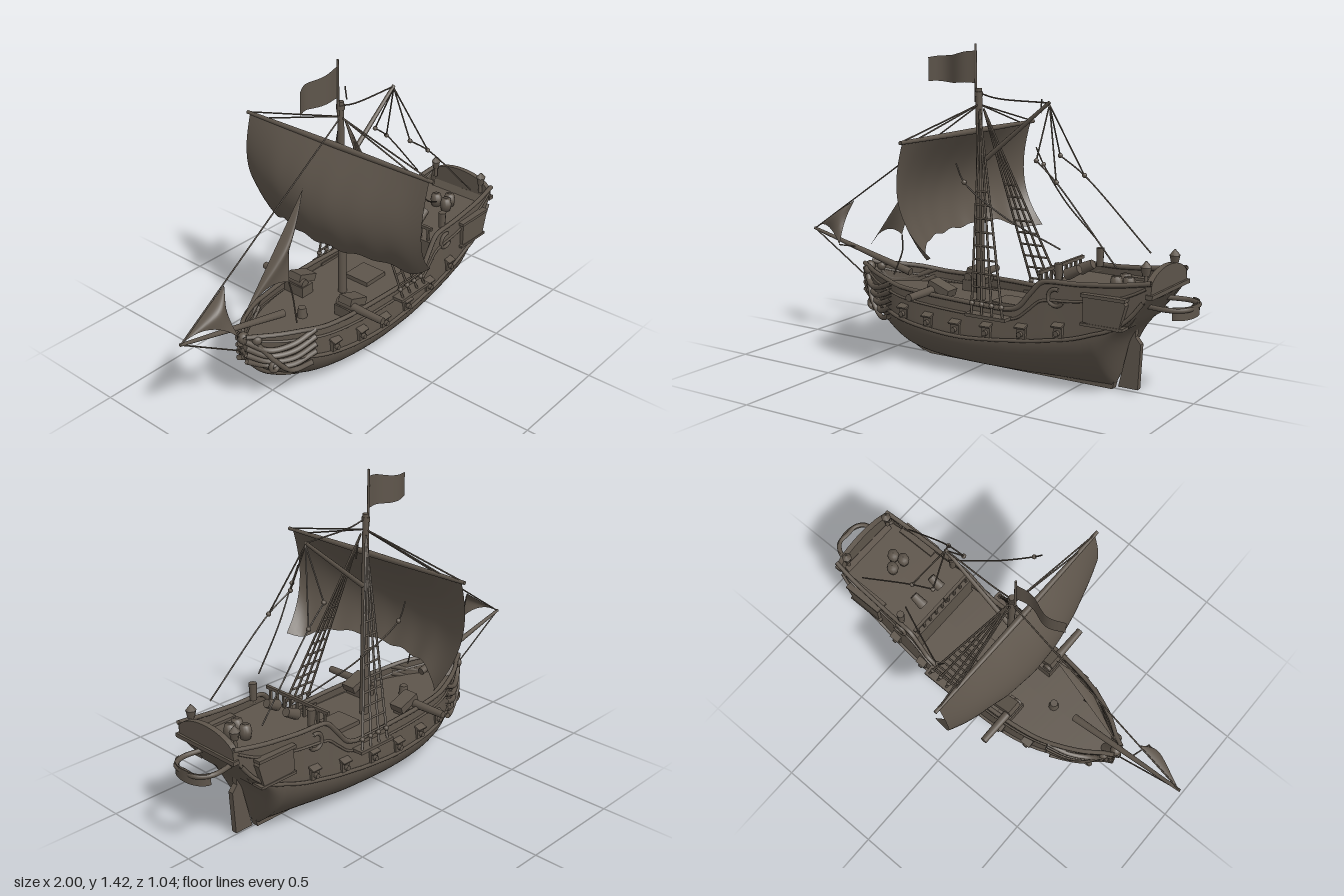
import * as THREE from 'three';

// Hull stations: x, keel y, widest y, rail y, half beam, half width at rail, bilge sharpness
const STATIONS = [
  [-0.68, .30, .33, .385, .01, .02, .8], [-0.62, .22, .29, .375, .045, .052, .7],
  [-0.55, .145, .25, .37, .09, .1, .6], [-0.45, .075, .225, .36, .148, .148, .6],
  [-0.35, .03, .205, .345, .188, .18, .6], [-0.2, .012, .19, .34, .218, .203, .55],
  [0, .01, .18, .335, .228, .212, .5], [0.2, .01, .195, .33, .228, .212, .52],
  [0.28, .01, .205, .34, .225, .21, .55], [0.33, .01, .21, .385, .222, .205, .6],
  [0.37, .01, .215, .445, .22, .2, .63], [0.42, .01, .225, .47, .218, .197, .68],
  [0.55, .01, .25, .475, .207, .192, .8], [0.64, .01, .28, .482, .2, .188, .85],
  [0.72, .23, .31, .49, .195, .185, .45], [0.79, .33, .36, .5, .185, .18, .3],
  [0.88, .46, .475, .515, .17, .17, .25],
];

// Smooth interpolation through the stations
function station(x) {
  const n = STATIONS.length;
  let i = 0;
  while (i < n - 2 && x > STATIONS[i + 1][0]) i++;
  const a = STATIONS[i], b = STATIONS[i + 1], h = b[0] - a[0];
  const t = THREE.MathUtils.clamp((x - a[0]) / h, 0, 1);
  const slope = (j, c) => {
    const p = STATIONS[Math.max(j - 1, 0)], q = STATIONS[Math.min(j + 1, n - 1)];
    return (q[c] - p[c]) / (q[0] - p[0]);
  };
  const val = c => (2 * t ** 3 - 3 * t * t + 1) * a[c] + (t ** 3 - 2 * t * t + t) * h * slope(i, c)
    + (3 * t * t - 2 * t ** 3) * b[c] + (t ** 3 - t * t) * h * slope(i + 1, c);
  return { k: Math.max(val(1), .01), yb: val(2), top: val(3), B: val(4), T: val(5), p: Math.max(val(6), .2) };
}

function hullZ(x, y) {
  const s = station(x);
  if (y > s.yb) return s.B + (s.T - s.B) * Math.min((y - s.yb) / (s.top - s.yb), 1);
  const f = THREE.MathUtils.clamp((y - s.k) / (s.yb - s.k), 0, 1);
  return Math.max(.008, s.B * Math.pow(Math.sin(f * Math.PI / 2), s.p));
}

// Surface from a rule fn(u, v) -> [x, y, z]
function grid(nu, nv, fn) {
  const pos = [], idx = [];
  for (let i = 0; i <= nu; i++) for (let j = 0; j <= nv; j++) pos.push(...fn(i / nu, j / nv));
  for (let i = 0; i < nu; i++) for (let j = 0; j < nv; j++) {
    const a = i * (nv + 1) + j, b = a + nv + 1;
    idx.push(a, b, a + 1, b, b + 1, a + 1);
  }
  const g = new THREE.BufferGeometry();
  g.setAttribute('position', new THREE.Float32BufferAttribute(pos, 3));
  g.setIndex(idx);
  g.computeVertexNormals();
  return g;
}

export function createModel() {
  const root = new THREE.Group();
  const wood = new THREE.MeshStandardMaterial({ color: 0x5e554b, side: THREE.DoubleSide });
  wood.name = 'weatheredBrown';
  const V = p => new THREE.Vector3(...p);
  const add = (name, geo, x = 0, y = 0, z = 0) => {
    const m = new THREE.Mesh(geo, wood);
    m.name = name;
    m.position.set(x, y, z);
    root.add(m);
    return m;
  };
  const box = (name, w, h, d, x, y, z) => add(name, new THREE.BoxGeometry(w, h, d), x, y, z);
  const tube = (name, pts, r = .0035, seg = 5) =>
    add(name, new THREE.TubeGeometry(new THREE.CatmullRomCurve3(pts.map(V)), pts.length > 2 ? pts.length * 6 : 1, r, seg));
  const spar = (name, a, b, r0, r1, seg = 12) => {
    const A = V(a), B = V(b), d = B.clone().sub(A);
    const m = add(name, new THREE.CylinderGeometry(r1, r0, d.length(), seg), ...A.clone().add(B).multiplyScalar(.5));
    m.quaternion.setFromUnitVectors(new THREE.Vector3(0, 1, 0), d.normalize());
    return m;
  };
  const plate = (name, pts, depth) => {
    const g = new THREE.ExtrudeGeometry(new THREE.Shape(pts.map(p => new THREE.Vector2(...p))), { depth, bevelEnabled: false });
    return add(name, g.translate(0, 0, -depth / 2));
  };
  const sides = fn => [1, -1].forEach(fn);

  // Hull shell, decks and bulkhead
  add('hull', grid(110, 48, (u, v) => {
    const x = -.68 + 1.56 * u, s = station(x), w = v * 2 - 1, a = Math.abs(w);
    const y = a < .65 ? s.k + (s.yb - s.k) * (a / .65) ** 2 : s.yb + (s.top - s.yb) * (a - .65) / .35;
    return [x, y, Math.sign(w) * hullZ(x, y)];
  }));
  const deck = (name, x0, x1, y) => add(name, grid(40, 2, (u, v) => {
    const x = x0 + (x1 - x0) * u;
    return [x, y, (v * 2 - 1) * (hullZ(x, y) - .004)];
  }));
  deck('mainDeck', -.64, .38, .29);
  deck('quarterDeck', .37, .87, .435);
  box('bulkhead', .015, .15, .39, .375, .36, 0);
  box('hatch', .13, .02, .13, .13, .3, 0);
  box('deckBreakRail', .014, .014, .38, .38, .5, 0);
  for (let i = -4; i <= 4; i++) box('railPost', .01, .07, .01, .38, .465, i * .042);

  // Keel, stem, rudder
  plate('keel', [[-.38, .03], [-.3, 0], [.64, 0], [.715, .28], [.66, .28], [.6, .04], [-.3, .03]], .034);
  tube('stem', [[-.34, .015, 0], [-.45, .07, 0], [-.55, .14, 0], [-.62, .22, 0], [-.68, .33, 0]], .014, 8);
  plate('rudder', [[.665, .015], [.755, .015], [.765, .21], [.74, .24], [.745, .32], [.72, .32], [.715, .22]], .026);

  // Rails, wales, gun ports, shroud channels, quarter galleries
  sides(s => {
    const along = (name, x0, x1, f, r, off) => tube(name, Array.from({ length: 30 }, (_, i) => {
      const x = x0 + (x1 - x0) * i / 29, q = station(x), y = q.yb + (q.top - q.yb) * f;
      return [x, y, s * (hullZ(x, y) + off)];
    }), r, 6);
    along('topRail', -.67, .88, 1, .011, .001);
    along('wale', -.66, .85, 0, .009, .003);
    along('upperWale', -.64, .86, .68, .006, .002);
    [-.31, -.16, -.01, .15, .32, .49].forEach(x => {
      const y = station(x).yb + .035, z = hullZ(x, y);
      box('gunPort', .042, .05, .025, x, y, s * z);
      const lid = box('gunPortLid', .05, .008, .035, x, y + .028, s * (z + .01));
      lid.rotation.x = s * .35;
      spar('gunMuzzle', [x, y - .005, s * z], [x, y - .005, s * (z + .028)], .012, .012, 8);
    });
    box('shroudChannel', .2, .014, .06, .165, .295, s * .24);
    const gal = plate('quarterGallery', [[.6, .33], [.76, .31], [.79, .42], [.775, .445], [.6, .435]], .05);
    gal.position.z = s * .188;
    box('galleryRoof', .2, .014, .06, .69, .44, s * .188);
    box('gallerySill', .19, .012, .056, .685, .32, s * .188);
    const scroll = add('sideScroll', new THREE.TorusGeometry(.035, .009, 6, 18, 4.6), .47, .41, s * .205);
    scroll.rotation.z = 1.2;

    // Carved bow rails
    for (let i = 0; i < 4; i++) {
      const d = i * .037;
      tube('headRail', [[-.4, .35 - d, s * (hullZ(-.4, .35 - d) + .004)],
        [-.5, .31 - d, s * (hullZ(-.5, .31 - d) + .012)],
        [-.59, .3 - d * .8, s * (hullZ(-.59, .3 - d * .8) + .014)], [-.67, .36 - d * .9, s * .022]], .013, 7);
    }
    tube('headBrace', [[-.63, .34, s * .05], [-.57, .24, s * .1], [-.5, .17, s * .125], [-.42, .19, s * .17]], .012, 7);
    add('bowScroll', new THREE.TorusGeometry(.024, .011, 7, 16), -.57, .215, s * .09);
    add('catheadKnob', new THREE.SphereGeometry(.022, 10, 8), -.63, .36, s * .05);

    // Side cannons
    spar('cannon', [-.17, .35, s * .1], [-.17, .35, s * .35], .021, .016);
    const carriage = box('cannonCarriage', .11, .035, .07, -.135, .36, s * .15);
    carriage.rotation.z = -.35;
    box('cannonBed', .07, .05, .11, -.16, .315, s * .15);

    // Stern lanterns
    spar('lanternPost', [.84, .49, s * .135], [.84, .54, s * .135], .01, .008, 8);
    spar('lantern', [.84, .535, s * .135], [.84, .57, s * .135], .015, .022, 6);
    spar('lanternCap', [.84, .57, s * .135], [.84, .595, s * .135], .024, .003, 6);
    spar('deckGun', [.44, .475, s * .06], [.5, .505, s * .06], .026, .02, 8);
    spar('railLamp', [.47, .47, s * .18], [.47, .55, s * .18], .015, .018, 8);
  });
  spar('figureheadBody', [-.61, .27, 0], [-.67, .35, 0], .03, .022);
  add('figureheadHead', new THREE.SphereGeometry(.026, 12, 10), -.66, .365, 0);

  // Transom and stern balcony
  const arch = new THREE.Shape().moveTo(-.175, .45).lineTo(.175, .45).lineTo(.165, .51)
    .bezierCurveTo(.1, .58, -.1, .58, -.165, .51);
  add('taffrail', new THREE.ExtrudeGeometry(arch, { depth: .025, bevelEnabled: false }).rotateY(Math.PI / 2), .855, 0, 0);
  const panel = box('transomPanel', .015, .17, .3, .815, .39, 0);
  panel.rotation.z = -.55;
  box('transomLedge', .03, .018, .36, .875, .46, 0);
  tube('balconyRail', [[.8, .4, -.085], [.93, .4, -.1], [.985, .4, -.06], [.988, .4, 0],
    [.985, .4, .06], [.93, .4, .1], [.8, .4, .085]], .011, 8);
  add('balconyEnd', grid(20, 1, (u, v) => {
    const a = (u - .5) * Math.PI;
    return [.94 + .06 * Math.cos(a), .36 + .055 * v, .1 * Math.sin(a)];
  }));

  // Barrels and capstan
  [[.68, -.01], [.72, .04], [.67, .055]].forEach(([x, z]) =>
    add('barrel', new THREE.LatheGeometry([[0, 0], [.022, 0], [.028, .03], [.022, .06], [0, .06]].map(p => new THREE.Vector2(...p)), 14), x, .435, z));
  spar('capstan', [-.3, .29, 0], [-.3, .335, 0], .024, .018, 10);

  // Mast, spars and flag
  spar('mast', [-.03, .28, 0], [-.04, 1.23, 0], .021, .014);
  spar('mastCap', [-.04, 1.195, 0], [-.04, 1.215, 0], .019, .019);
  spar('flagPole', [-.055, 1.17, 0], [-.057, 1.42, 0], .006, .005, 8);
  sides(s => spar('yard', [-.075, 1.04, 0], [-.075, 1.04, s * .52], .014, .008));
  spar('gaff', [-.02, .91, 0], [.315, 1.185, 0], .012, .008, 8);
  spar('bowsprit', [-.42, .365, 0], [-1, .512, 0], .018, .007, 10);
  add('flag', grid(20, 6, (u, v) => [-.06 - .24 * u, 1.25 + .14 * v - .035 * u * v + .003 * Math.sin(u * 9), .02 * Math.sin(u * 7) * u ** .5]));

  // Square sail: bellied, with the lower corners drawn aft
  add('mainSail', grid(48, 24, (u, v) => {
    const w = u * 2 - 1, a = Math.abs(w);
    const belly = Math.sin(Math.PI * Math.min(v * .82, 1)) * (1 - .55 * w * w);
    const foot = .6 - .05 * Math.exp(-(((a - .9) / .17) ** 2)) + .006 * Math.sin(w * 19);
    return [-.08 - .122 * belly + v * v * (.1 * w * w - .02) + .05 * w ** 8 * v ** 5,
      1.035 + (foot - 1.035) * v, w * (.5 - .05 * v ** 3)];
  }));

  // Staysails with hollow edges
  const staysail = (name, head, tack, clew, dz, hollow) => add(name, grid(16, 12, (u, v) => {
    const hol = 4 * v * (1 - v) * u * .05, e = 4 * u * (1 - u);
    const p = V(head).lerp(V(tack).lerp(V(clew), v), u);
    const c = V(head).add(V(tack)).multiplyScalar(.5);
    p.lerp(c, e * v * hollow);
    return [p.x, p.y + hol, p.z + dz * e * Math.sin(Math.PI * v)];
  }));
  staysail('outerJib', [-.75, .67, 0], [-.99, .513, 0], [-.77, .47, .09], .03, .16);
  staysail('innerJib', [-.28, .915, 0], [-.66, .46, 0], [-.43, .55, .05], .04, .24);

  // Stays
  tube('foreStay', [[-.995, .512, 0], [-.05, 1.15, 0]]);
  tube('bobStay', [[-.995, .51, 0], [-.6, .26, 0]]);
  tube('jibTackLine', [[-.77, .47, .09], [-.74, .448, 0]]);
  tube('jibSheet', [[-.43, .55, .05], [-.42, .48, .06], [-.44, .37, .1]]);
  tube('gaffLift', [[-.04, 1.21, 0], [.05, 1.19, 0], [.315, 1.182, 0]]);
  tube('looseLine', [[.18, 1.18, -.165], [.18, 1.12, -.155]]);
  sides(s => {
    tube('yardLift', [[-.04, 1.16, 0], [-.075, 1.045, s * .5]]);
    tube('innerYardLift', [[-.04, 1.16, 0], [-.075, 1.045, s * .4]]);
    tube('vang', [[.315, 1.175, 0], [.312, .95, s * .1]]);
    tube('outerVang', [[.315, 1.175, 0], [.42, .87, s * .12]]);
    tube('vangFall', [[.312, .95, s * .1], [.42, .87, s * .12], [.72, .56, s * .16]]);
    tube('brace', [[.06, .945, s * .32], [.1, .87, s * .32], [.25, .73, s * .25], [.46, .6, s * .15]]);
    [[.312, .95, .1], [.42, .87, .12], [.1, .87, .32]].forEach(([x, y, z]) =>
      add('pulleyBlock', new THREE.SphereGeometry(.011, 8, 6), x, y, s * z));

    // Shrouds and ratlines
    const foot = i => [.09 + .052 * i, .3, s * .255], top = [-.025, 1.14, s * .015];
    const at = (i, t) => V(foot(i)).lerp(V(top), t).toArray();
    for (let i = 0; i < 4; i++) {
      spar('shroud', foot(i), top, .006, .0045, 5);
      add('deadeye', new THREE.SphereGeometry(.012, 8, 6), ...at(i, .05));
    }
    for (let j = 1; j <= 9; j++) spar('ratline', at(0, j * .066), at(3, j * .066), .005, .005, 5);
  });
  return root;
}
